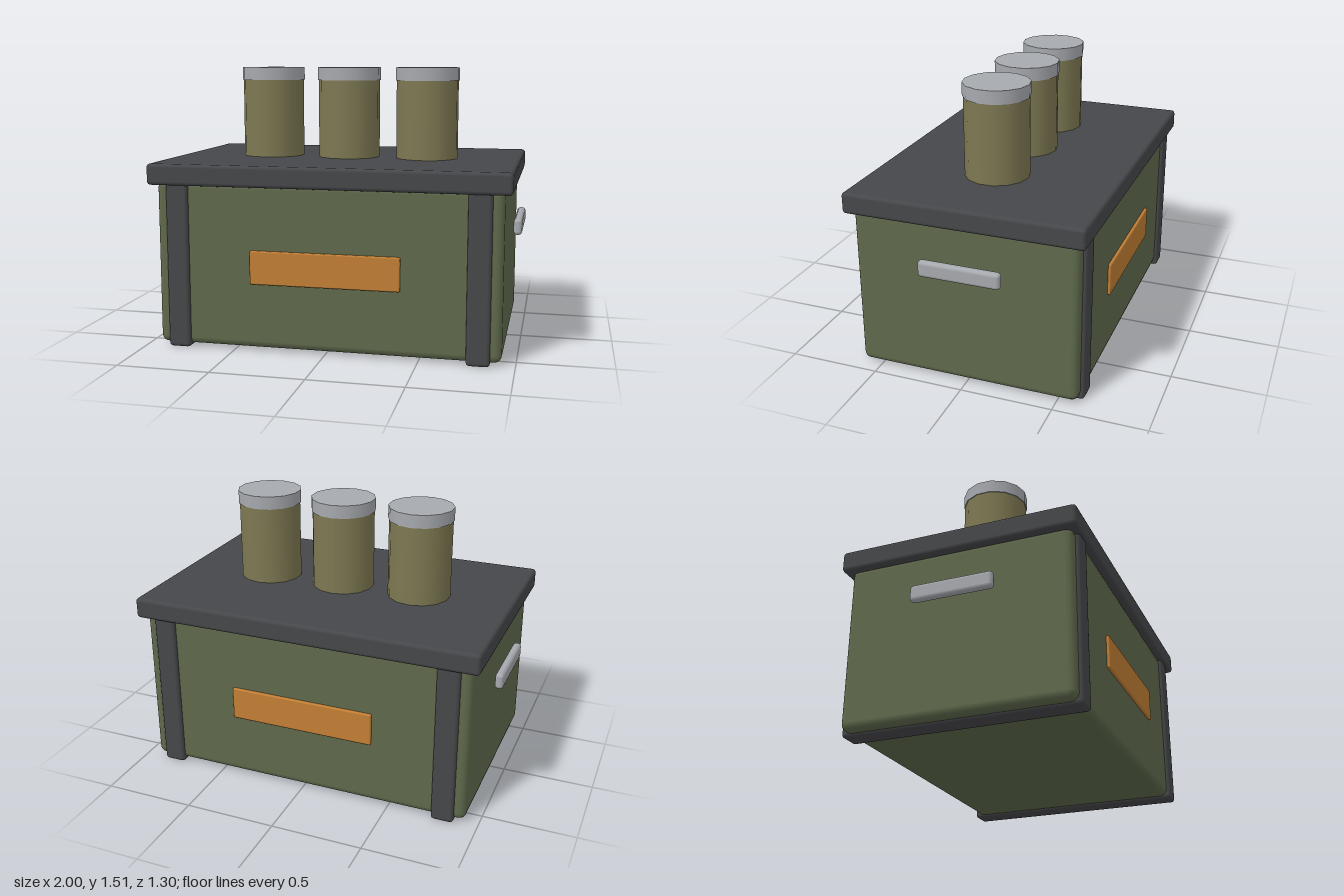
import * as THREE from 'three';
import { RoundedBoxGeometry } from 'three/addons/geometries/RoundedBoxGeometry.js';

const paint = (color) => new THREE.MeshStandardMaterial({ color });

export function createModel() {
  const model = new THREE.Group();
  model.name = 'crate';

  const green = paint(0x5f6a4c);
  const dark = paint(0x46474a);
  const metal = paint(0xa6a9ae);
  const tan = paint(0x7d7852);
  const orange = paint(0xc27f35);

  // Bevelled box from its size, centre and bevel radius
  function block(name, material, [w, h, d], [x, y, z], bevel) {
    const mesh = new THREE.Mesh(new RoundedBoxGeometry(w, h, d, 2, bevel), material);
    mesh.name = name;
    mesh.position.set(x, y, z);
    model.add(mesh);
  }

  // Upright 14-sided drum from its radius and bottom and top heights
  function drum(name, material, radius, bottom, top, x) {
    const mesh = new THREE.Mesh(new THREE.CylinderGeometry(radius, radius, top - bottom, 14), material);
    mesh.name = name;
    mesh.position.set(x, (bottom + top) / 2, 0);
    model.add(mesh);
  }

  // Body and overhanging lid
  block('body', green, [1.86, 0.9, 1.22], [0, 0.465, 0], 0.04);
  block('lid', dark, [1.944, 0.115, 1.296], [0, 0.9475, 0], 0.02);

  // Bands wrapping the body, side handles, and front and back plates
  for (const [side, s] of [['left', 1], ['right', -1]]) {
    block(`${side}Band`, dark, [0.124, 0.92, 1.26], [s * 0.81, 0.46, 0], 0.02);
    block(`${side}Handle`, metal, [0.046, 0.09, 0.446], [s * 0.977, 0.663, 0], 0.02);
  }
  for (const [face, s] of [['front', 1], ['back', -1]]) {
    block(`${face}Plate`, orange, [0.81, 0.182, 0.03], [0, 0.46, s * 0.611], 0.008);
  }

  // Row of capped canisters on the lid
  for (const x of [-0.45, 0, 0.45]) {
    drum('canister', tan, 0.174, 0.98, 1.45, x);
    drum('canisterCap', metal, 0.179, 1.44, 1.512, x);
  }

  return model;
}
